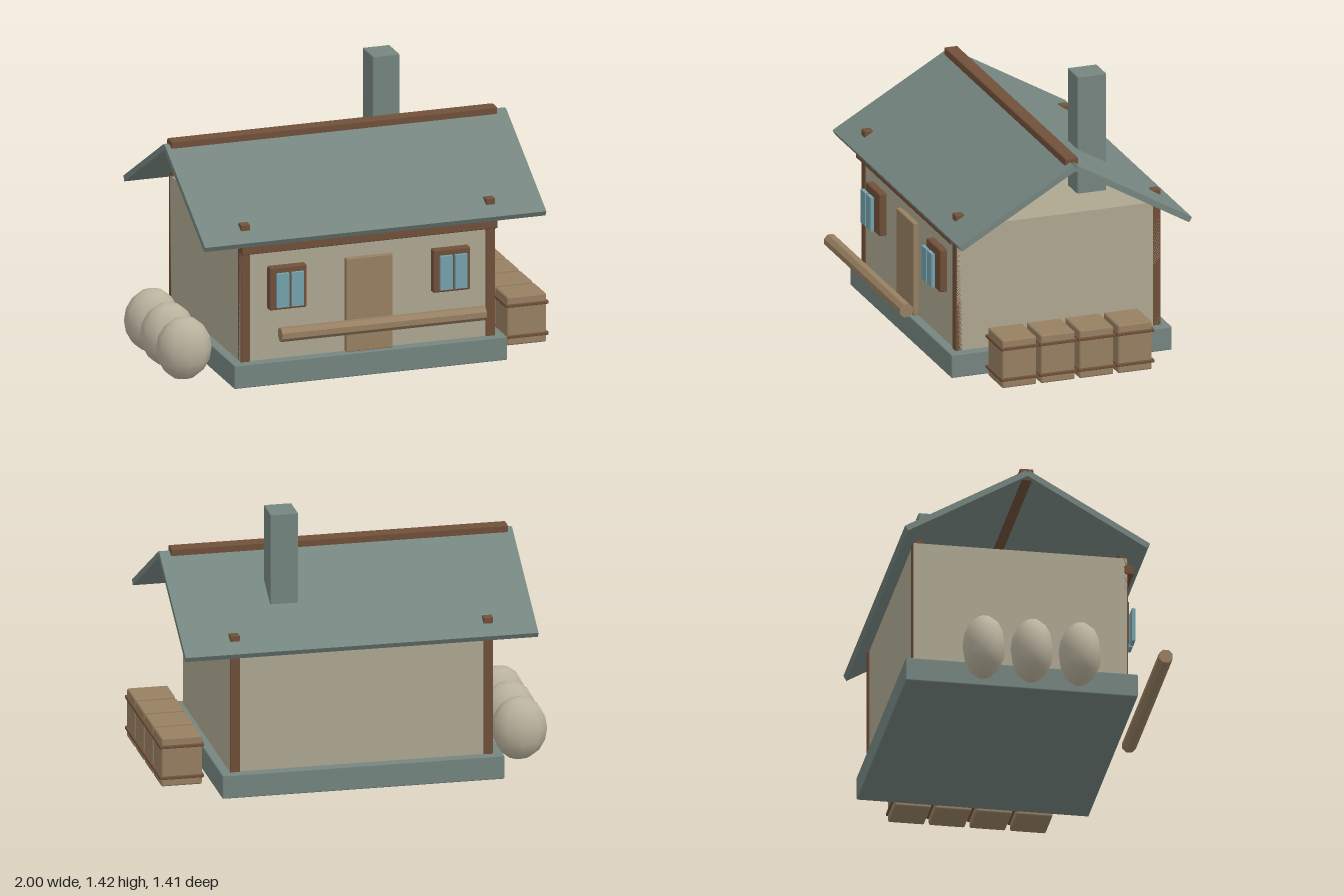
import * as THREE from 'three';
import { RoundedBoxGeometry } from 'three/addons/geometries/RoundedBoxGeometry.js';

const mat = (name, color, flat = false) => {
  const m = new THREE.MeshStandardMaterial({ color, flatShading: flat });
  m.name = name;
  return m;
};

export function createModel() {
  const slate = mat('slate', 0x75857f);
  const plaster = mat('plaster', 0xaea791);
  const darkWood = mat('darkWood', 0x70503a);
  const paleWood = mat('paleWood', 0x978062);
  const glass = mat('glass', 0x74a3ac);
  const sackCloth = mat('sackCloth', 0xb9b29d);

  const model = new THREE.Group();
  model.name = 'cottage';

  // Box from its limits on each axis, with an optional small bevel
  const box = (name, material, [x0, x1], [y0, y1], [z0, z1], bevel = 0, parent = model) => {
    const size = [x1 - x0, y1 - y0, z1 - z0];
    const geo = bevel ? new RoundedBoxGeometry(...size, 1, bevel) : new THREE.BoxGeometry(...size);
    const mesh = new THREE.Mesh(geo, material);
    mesh.position.set((x0 + x1) / 2, (y0 + y1) / 2, (z0 + z1) / 2);
    mesh.name = name;
    parent.add(mesh);
    return mesh;
  };

  // House body
  box('foundation', slate, [-0.71, 0.725], [0.027, 0.15], [-0.67, 0.5], 0.006);
  box('walls', plaster, [-0.662, 0.677], [0.14, 0.802], [-0.622, 0.452]);

  // Corner posts, passing up through the roof
  for (const x of [-0.637, 0.652]) {
    for (const z of [-0.605, 0.436]) {
      box('cornerPost', darkWood, [x - 0.025, x + 0.025], [0.14, 0.866], [z - 0.024, z + 0.024], 0.005);
    }
  }
  box('frontBeam', darkWood, [-0.665, 0.68], [0.716, 0.766], [0.44, 0.489], 0.006);
  box('door', paleWood, [-0.115, 0.13], [0.15, 0.638], [0.44, 0.48], 0.005);

  // Windows with two raised panes each
  for (const x of [-0.423, 0.437]) {
    const win = new THREE.Group();
    win.name = 'window';
    model.add(win);
    box('windowFrame', darkWood, [x - 0.098, x + 0.098], [0.413, 0.637], [0.44, 0.49], 0.008, win);
    for (const side of [-1, 1]) {
      const c = x + side * 0.039;
      box('windowPane', glass, [c - 0.032, c + 0.032], [0.436, 0.612], [0.507, 0.525], 0, win);
    }
  }

  // Front rail log
  const log = new THREE.Mesh(new THREE.CylinderGeometry(0.037, 0.037, 1.075, 8),
    mat('logWood', 0x978062, true));
  log.rotation.set(Math.PI / 8, 0, Math.PI / 2);
  log.position.set(0.008, 0.346, 0.672);
  log.name = 'frontRail';
  model.add(log);

  // Roof slopes mirrored about the ridge
  const ridgeZ = -0.085;
  for (const side of [-1, 1]) {
    const slope = new THREE.Mesh(new THREE.BoxGeometry(1.795, 0.03, 0.704), slate);
    slope.position.set(0.022, 0.956, ridgeZ + side * 0.305);
    slope.rotation.x = side * Math.PI / 6;
    slope.name = 'roofSlope';
    model.add(slope);
  }
  box('ridgeBeam', darkWood, [-0.85, 0.865], [1.1, 1.166], [-0.12, -0.05], 0.007);
  box('chimney', slate, [0.288, 0.43], [0.78, 1.42], [-0.433, -0.278], 0.006);

  // Row of crates with two bands each
  for (let i = 0; i < 4; i++) {
    const z = 0.239 - i * 0.2045;
    const crate = new THREE.Group();
    crate.name = 'crate';
    model.add(crate);
    box('crateBody', paleWood, [0.783, 0.991], [0.042, 0.296], [z - 0.091, z + 0.091], 0.009, crate);
    for (const y of [0.088, 0.25]) {
      box('crateBand', darkWood, [0.774, 1.0], [y - 0.008, y + 0.008], [z - 0.1, z + 0.1], 0.004, crate);
    }
  }

  // Row of round sacks
  for (let i = 0; i < 3; i++) {
    const sack = new THREE.Mesh(new THREE.SphereGeometry(1, 10, 8).rotateY(Math.PI / 10), sackCloth);
    sack.scale.set(0.142, 0.163, 0.107);
    sack.position.set(-0.865, 0.163, 0.18 - i * 0.242);
    sack.name = 'sack';
    model.add(sack);
  }

  return model;
}
